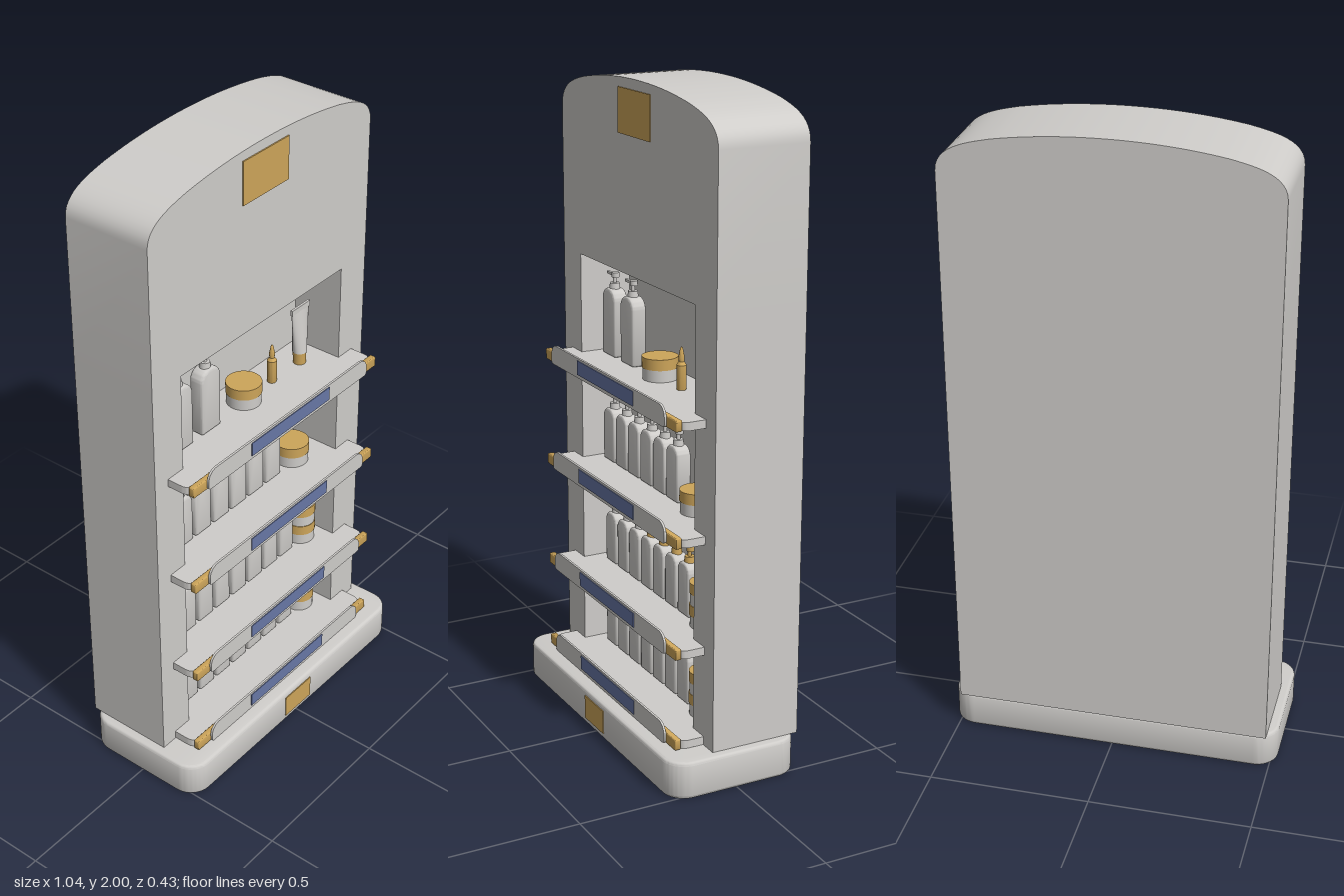
import * as THREE from 'three';
import { toCreasedNormals } from 'three/addons/utils/BufferGeometryUtils.js';

const mat = (name, color, side = THREE.FrontSide) => {
  const m = new THREE.MeshStandardMaterial({ color, side });
  m.name = name;
  return m;
};

// Rectangle with separate corner radii at the bottom and the top
function roundedRect(x0, y0, x1, y1, rb, rt = rb) {
  const s = new THREE.Shape();
  s.moveTo(x0 + rb, y0);
  s.lineTo(x1 - rb, y0);
  s.absarc(x1 - rb, y0 + rb, rb, -Math.PI / 2, 0);
  s.lineTo(x1, y1 - rt);
  s.absarc(x1 - rt, y1 - rt, rt, 0, Math.PI / 2);
  s.lineTo(x0 + rt, y1);
  s.absarc(x0 + rt, y1 - rt, rt, Math.PI / 2, Math.PI);
  s.lineTo(x0, y0 + rb);
  s.absarc(x0 + rb, y0 + rb, rb, Math.PI, Math.PI * 1.5);
  return s;
}

// Extrusion along z from z0 to z0 + depth, bevel kept inside the outline
function extrude(shape, z0, depth, bevel = 0, curveSegments = 8) {
  const g = new THREE.ExtrudeGeometry(shape, {
    depth: depth - 2 * bevel, curveSegments, bevelEnabled: bevel > 0,
    bevelThickness: bevel, bevelSize: bevel, bevelOffset: -bevel, bevelSegments: 3,
  });
  g.translate(0, 0, z0 + bevel);
  return toCreasedNormals(g, 0.6);
}

// Plan outline (x, -z) raised from y0 to y0 + height
const raise = (shape, y0, height, bevel = 0) => extrude(shape, y0, height, bevel).rotateX(-Math.PI / 2);

export function createModel() {
  const white = mat('shell white', 0xcfcdca);
  const gold = mat('gold', 0xcda55a);
  const blue = mat('label blue', 0x6877a6);
  const root = new THREE.Group();
  root.name = 'displayStand';

  const add = (parent, name, geometry, material, x = 0, y = 0, z = 0) => {
    const m = new THREE.Mesh(geometry, material);
    m.name = name;
    m.position.set(x, y, z);
    parent.add(m);
    return m;
  };
  const box = (w, h, d) => new THREE.BoxGeometry(w, h, d);
  const cyl = (r0, r1, h, n = 24) => new THREE.CylinderGeometry(r0, r1, h, n).translate(0, h / 2, 0);

  // Base
  add(root, 'base', raise(roundedRect(-0.52, -0.213, 0.52, 0.21, 0.07), 0, 0.115, 0.01), white);
  add(root, 'basePlate', box(0.128, 0.075, 0.004), gold, 0, 0.058, 0.214);

  // Cabinet: pillars and back wall as one U-shaped plan
  const back = 0.217, front = -0.068, inner = 0.1;
  const plan = new THREE.Shape([
    [-0.49, front], [-0.37, front], [-0.37, inner], [0.37, inner],
    [0.37, front], [0.49, front], [0.49, back], [-0.49, back],
  ].map(([x, y]) => new THREE.Vector2(x, y)));
  add(root, 'cabinet', raise(plan, 0.115, 1.31), white);

  // Header with a shallow arch and softly rounded shoulders
  const arch = new THREE.Shape();
  arch.moveTo(-0.49, 1.425);
  arch.lineTo(0.49, 1.425);
  arch.lineTo(0.49, 1.87);
  arch.bezierCurveTo(0.49, 1.94, 0.4, 1.958, 0.33, 1.973);
  arch.bezierCurveTo(0.22, 1.992, 0.11, 2, 0, 2);
  arch.bezierCurveTo(-0.11, 2, -0.22, 1.992, -0.33, 1.973);
  arch.bezierCurveTo(-0.4, 1.958, -0.49, 1.94, -0.49, 1.87);
  add(root, 'header', extrude(arch, -back, back - front, 0, 12), white);
  add(root, 'headerPlate', box(0.2, 0.133, 0.004), gold, 0, 1.903, 0.07);

  // Shelf: tray running into the niche, front rail, rounded lip and label
  const tray = new THREE.Shape();
  tray.moveTo(-0.37, inner);
  tray.lineTo(-0.37, front);
  tray.lineTo(-0.435, front);
  tray.lineTo(-0.435, -0.115);
  tray.quadraticCurveTo(-0.435, -0.145, -0.405, -0.145);
  tray.lineTo(0.405, -0.145);
  tray.quadraticCurveTo(0.435, -0.145, 0.435, -0.115);
  tray.lineTo(0.435, front);
  tray.lineTo(0.37, front);
  tray.lineTo(0.37, inner);
  const trayGeo = raise(tray, 0, 0.025);
  const lipGeo = extrude(roundedRect(-0.377, 0, 0.377, 0.062, 0.008, 0.035), 0.162, 0.007);
  const railGeo = extrude(roundedRect(-0.435, 0, 0.435, 0.034, 0.005), 0.143, 0.019, 0.003);
  function shelf(y) {
    const g = new THREE.Group();
    g.name = 'shelf';
    g.position.y = y;
    add(g, 'tray', trayGeo, white);
    add(g, 'rail', railGeo, gold);
    add(g, 'lip', lipGeo, white);
    add(g, 'shelfLabel', box(0.37, 0.044, 0.003), blue, 0, 0.033, 0.17);
    root.add(g);
  }

  const group = (name, x, y) => {
    const g = new THREE.Group();
    g.name = name;
    g.position.set(x, y, -0.012);
    root.add(g);
    return g;
  };

  // Pump bottle with its spout to the right
  function bottle(x, y, w, h, pumpMat) {
    const g = group('pumpBottle', x, y);
    add(g, 'bottleBody', extrude(roundedRect(-w / 2, 0, w / 2, h, 0.008, w * 0.43), -0.024, 0.048, 0.008, 6), white);
    add(g, 'collar', cyl(0.015, 0.017, 0.02, 16), pumpMat, 0, h - 0.003);
    add(g, 'stem', cyl(0.006, 0.006, 0.025, 10), pumpMat, 0, h + 0.015);
    add(g, 'pumpHead', cyl(0.012, 0.012, 0.015, 16), pumpMat, 0.006, h + 0.035);
    add(g, 'spout', box(0.048, 0.008, 0.009), pumpMat, -0.022, h + 0.041);
  }

  // Round jar with a gold lid
  function jar(x, y, r, h) {
    const g = group('jar', x, y);
    add(g, 'jarBody', cyl(r * 0.96, r * 0.96, h * 0.52, 32), white);
    add(g, 'lid', cyl(r, r, h * 0.48, 32), gold, 0, h * 0.52);
  }

  // Dropper vial
  function vial(x, y) {
    const profile = [[0, 0], [0.014, 0], [0.015, 0.004], [0.015, 0.075], [0.008, 0.085],
      [0.009, 0.1], [0.004, 0.125], [0, 0.13]].map(([a, b]) => new THREE.Vector2(a, b));
    add(group('vial', x, y), 'vialBody', toCreasedNormals(new THREE.LatheGeometry(profile, 20), 0.6), gold);
  }

  // Squeeze tube on its cap: round at the cap, flattening to a wide crimp
  function tube(x, y) {
    const g = group('squeezeTube', x, y);
    const body = cyl(1, 1, 1, 28);
    const p = body.attributes.position;
    for (let i = 0; i < p.count; i++) {
      const t = p.getY(i);
      p.setXYZ(i, p.getX(i) * (0.023 + 0.02 * t), 0.04 + t * 0.145, p.getZ(i) * (0.023 - 0.019 * t));
    }
    body.computeVertexNormals();
    add(g, 'tubeBody', body, white);
    add(g, 'tubeCrimp', box(0.086, 0.018, 0.008), white, 0, 0.192);
    add(g, 'tubeCap', cyl(0.021, 0.02, 0.042, 24), gold);
  }

  const top = 0.025;
  const shelfYs = [1.087, 0.741, 0.401, 0.117];
  shelfYs.forEach(shelf);

  // Top shelf
  const y1 = shelfYs[0] + top;
  for (const x of [-0.296, -0.172]) bottle(x, y1, 0.085, 0.213, white);
  jar(0.005, y1, 0.055, 0.07);
  vial(0.14, y1);
  tube(0.277, y1);

  // Second shelf
  const y2 = shelfYs[1] + top;
  for (let i = 0; i < 6; i++) bottle(-0.3 + i * 0.0845, y2, 0.074, 0.172, white);
  jar(0.245, y2, 0.055, 0.071);

  // Lower two shelves, each with stacked jars
  for (const ys of shelfYs.slice(2)) {
    const y = ys + top;
    for (let i = 0; i < 7; i++) bottle(-0.29 + i * 0.081, y, 0.07, 0.168, i < 3 ? white : gold);
    for (const k of [0, 1]) jar(0.297, y + k * 0.07, 0.049, 0.07);
  }
  return root;
}
